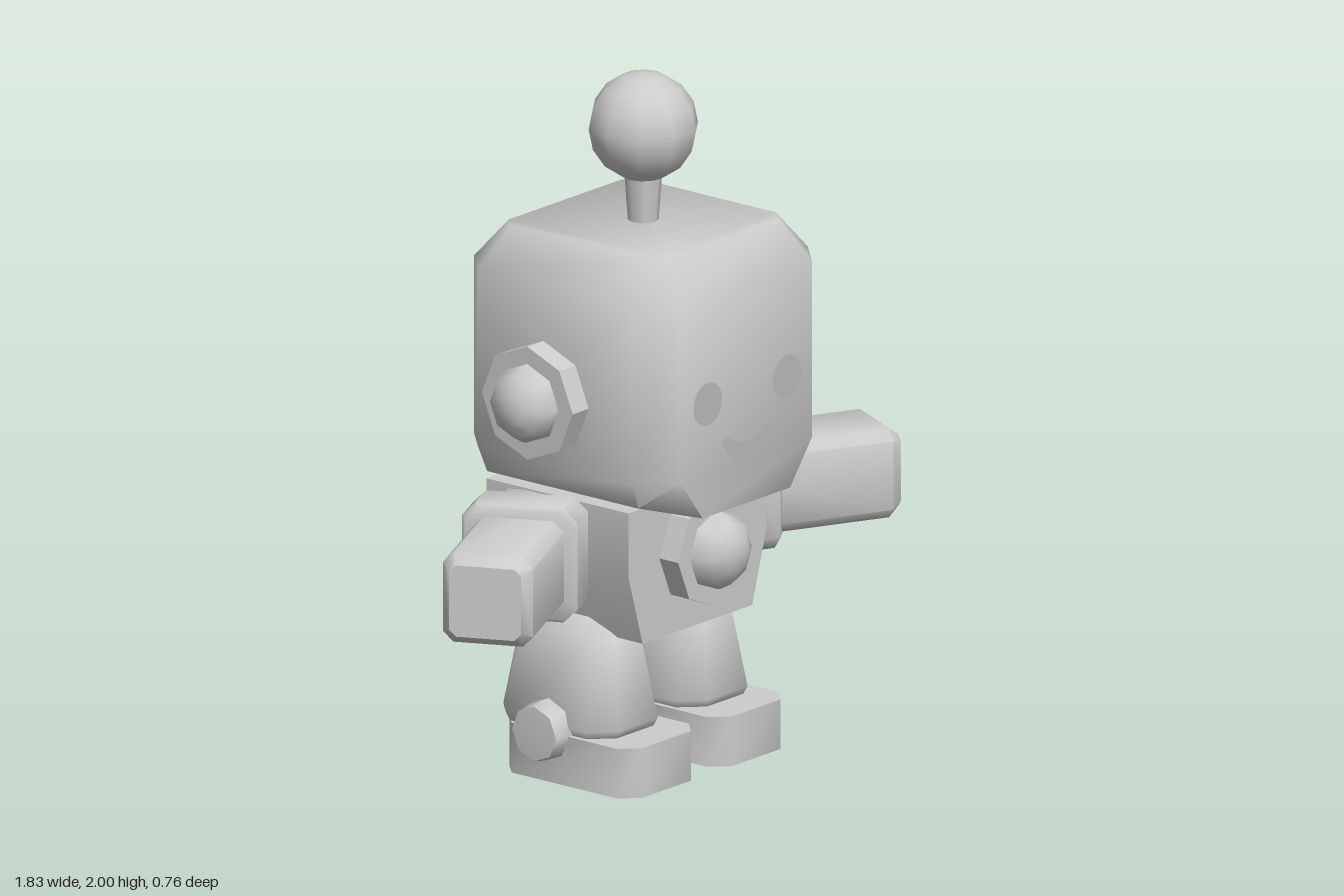
import * as THREE from 'three';
import { toCreasedNormals } from 'three/addons/utils/BufferGeometryUtils.js';

const bodyGrey = new THREE.MeshStandardMaterial({ color: 0xcccccc });
bodyGrey.name = 'light grey';
const faceGrey = new THREE.MeshStandardMaterial({ color: 0xbbbbbb });
faceGrey.name = 'face grey';

const CREASE = 1.05;

function add(parent, name, geometry, material = bodyGrey) {
  const mesh = new THREE.Mesh(geometry, material);
  mesh.name = name;
  parent.add(mesh);
  return mesh;
}

// Rectangle with cut corners in the xz plane, as [x, y, z] points
function ring(y, hx, z0, z1, c) {
  return [
    [-hx + c, y, z1], [hx - c, y, z1], [hx, y, z1 - c], [hx, y, z0 + c],
    [hx - c, y, z0], [-hx + c, y, z0], [-hx, y, z0 + c], [-hx, y, z1 - c],
  ];
}

// Skin over a stack of rings, closed at both ends
function loft(rings, crease = CREASE) {
  const n = rings[0].length, index = [];
  for (let r = 0; r < rings.length - 1; r++) {
    for (let i = 0; i < n; i++) {
      const a = r * n + i, b = r * n + (i + 1) % n;
      index.push(a, b, b + n, a, b + n, a + n);
    }
  }
  const top = (rings.length - 1) * n;
  for (let i = 1; i < n - 1; i++) {
    index.push(0, i + 1, i, top, top + i, top + i + 1);
  }
  const g = new THREE.BufferGeometry();
  g.setAttribute('position', new THREE.Float32BufferAttribute(rings.flat(2), 3));
  g.setIndex(index);
  return toCreasedNormals(g, crease);
}

// Turned part: profile is a list of [radius, height]
function turned(profile, crease = 0.9) {
  const points = profile.map(([r, y]) => new THREE.Vector2(r, y));
  return toCreasedNormals(new THREE.LatheGeometry(points, 8), crease);
}

// Octagonal plate with a domed cap, growing along +y
function addKnob(parent, name) {
  const knob = new THREE.Group();
  knob.name = name;
  add(knob, name + 'Plate', turned([[0, -0.03], [0.165, -0.03], [0.165, 0.07], [0, 0.07]], 0.5));
  add(knob, name + 'Dome', turned([[0.115, 0.065], [0.112, 0.085], [0.09, 0.125], [0.05, 0.149], [0, 0.157]]));
  parent.add(knob);
  return knob;
}

function addHead(root) {
  const head = new THREE.Group();
  head.name = 'head';
  root.add(head);

  // Lower edge: front and back stay full depth, the sides curve up
  const base = ring(0.815, 0.35, -0.375, 0.375, 0.1);
  for (const p of base) {
    if (Math.abs(p[2]) > 0.3) p[0] = Math.sign(p[0]) * 0.19;
    else p[1] = 0.862;
  }
  add(head, 'headShell', loft([
    base,
    ring(0.94, 0.38, -0.378, 0.375, 0.095),
    ring(1.455, 0.38, -0.378, 0.375, 0.095),
    ring(1.57, 0.285, -0.285, 0.285, 0.04),
  ]));

  // Antenna
  add(head, 'antennaStem', new THREE.CylinderGeometry(0.055, 0.042, 0.18, 8)).position.set(0, 1.64, 0);
  add(head, 'antennaBall', new THREE.SphereGeometry(0.157, 10, 8)).position.set(0, 1.843, 0);

  // Ears and eyes
  for (const s of [1, -1]) {
    const side = s > 0 ? 'left' : 'right';
    const ear = addKnob(head, side + 'Ear');
    ear.position.set(s * 0.38, 1.13, -0.045);
    ear.rotation.z = -s * Math.PI / 2;

    const eye = add(head, side + 'Eye', new THREE.CircleGeometry(0.063, 16), faceGrey);
    eye.position.set(s * 0.172, 1.145, 0.379);
  }

  // Smile
  const smile = new THREE.Shape();
  smile.moveTo(-0.108, 1.02);
  smile.quadraticCurveTo(-0.09, 0.95, 0, 0.95);
  smile.quadraticCurveTo(0.09, 0.95, 0.108, 1.02);
  smile.quadraticCurveTo(0.085, 1.04, 0.06, 1.01);
  smile.quadraticCurveTo(0, 0.985, -0.06, 1.01);
  smile.quadraticCurveTo(-0.085, 1.04, -0.108, 1.02);
  add(head, 'smile', new THREE.ShapeGeometry(smile, 8), faceGrey).position.z = 0.379;
}

function addTorso(root) {
  // Straight upper half, tapering lower half
  const g = new THREE.BoxGeometry(2, 2, 2, 1, 2, 1);
  const p = g.attributes.position;
  for (let i = 0; i < p.count; i++) {
    const low = p.getY(i) < -0.5;
    const y = low ? 0.425 : p.getY(i) < 0.5 ? 0.635 : 0.82;
    const z = p.getZ(i) > 0 ? 0.197 : low ? -0.268 : -0.32;
    p.setXYZ(i, p.getX(i) * (low ? 0.238 : 0.3), y, z);
  }
  add(root, 'torso', toCreasedNormals(g, 0.5));

  const button = addKnob(root, 'chestButton');
  button.position.set(0, 0.657, 0.195);
  button.rotation.x = Math.PI / 2;
}

function addArm(root, s) {
  const side = s > 0 ? 'left' : 'right';
  const arm = new THREE.Group();
  arm.name = side + 'Arm';
  arm.position.set(s * 0.522, 0.685, -0.015);
  arm.rotation.y = s > 0 ? -0.45 : Math.PI + 0.45;
  root.add(arm);

  // Sections stacked along the arm, then laid on the x axis
  const square = (y, h, c) => ring(y, h, -h, h, c);
  const limb = loft([square(-0.27, 0.13, 0.03), square(0.352, 0.13, 0.03), square(0.387, 0.104, 0.02)], 0.85);
  const cuff = loft([square(-0.128, 0.166, 0.04), square(-0.01, 0.166, 0.04), square(0, 0.155, 0.04)], 0.85);
  add(arm, side + 'Forearm', limb.rotateZ(-Math.PI / 2));
  add(arm, side + 'Cuff', cuff.rotateZ(-Math.PI / 2));
}

function addLeg(root, s) {
  const side = s > 0 ? 'left' : 'right';
  const leg = new THREE.Group();
  leg.name = side + 'Leg';
  leg.position.x = s * 0.195;
  root.add(leg);

  add(leg, side + 'Shin', loft([
    ring(0.14, 0.138, -0.262, 0.132, 0.06),
    ring(0.168, 0.15, -0.275, 0.145, 0.065),
    ring(0.425, 0.103, -0.235, 0.105, 0.05),
    ring(0.47, 0.06, -0.145, 0.04, 0.03),
  ], 1.2));
  add(leg, side + 'Foot', loft([
    ring(0, 0.156, -0.235, 0.248, 0.05),
    ring(0.145, 0.156, -0.235, 0.248, 0.05),
  ], 0.9));

  // Ankle bolt
  const bolt = add(leg, side + 'AnkleBolt', turned([[0, -0.02], [0.09, 0], [0.09, 0.105], [0.08, 0.16], [0, 0.165]], 1.0));
  bolt.position.set(s * 0.042, 0.147, -0.065);
  bolt.rotation.z = -s * Math.PI / 2;
}

export function createModel() {
  const root = new THREE.Group();
  root.name = 'toyRobot';
  addHead(root);
  addTorso(root);
  for (const s of [1, -1]) {
    addArm(root, s);
    addLeg(root, s);
  }
  return root;
}
